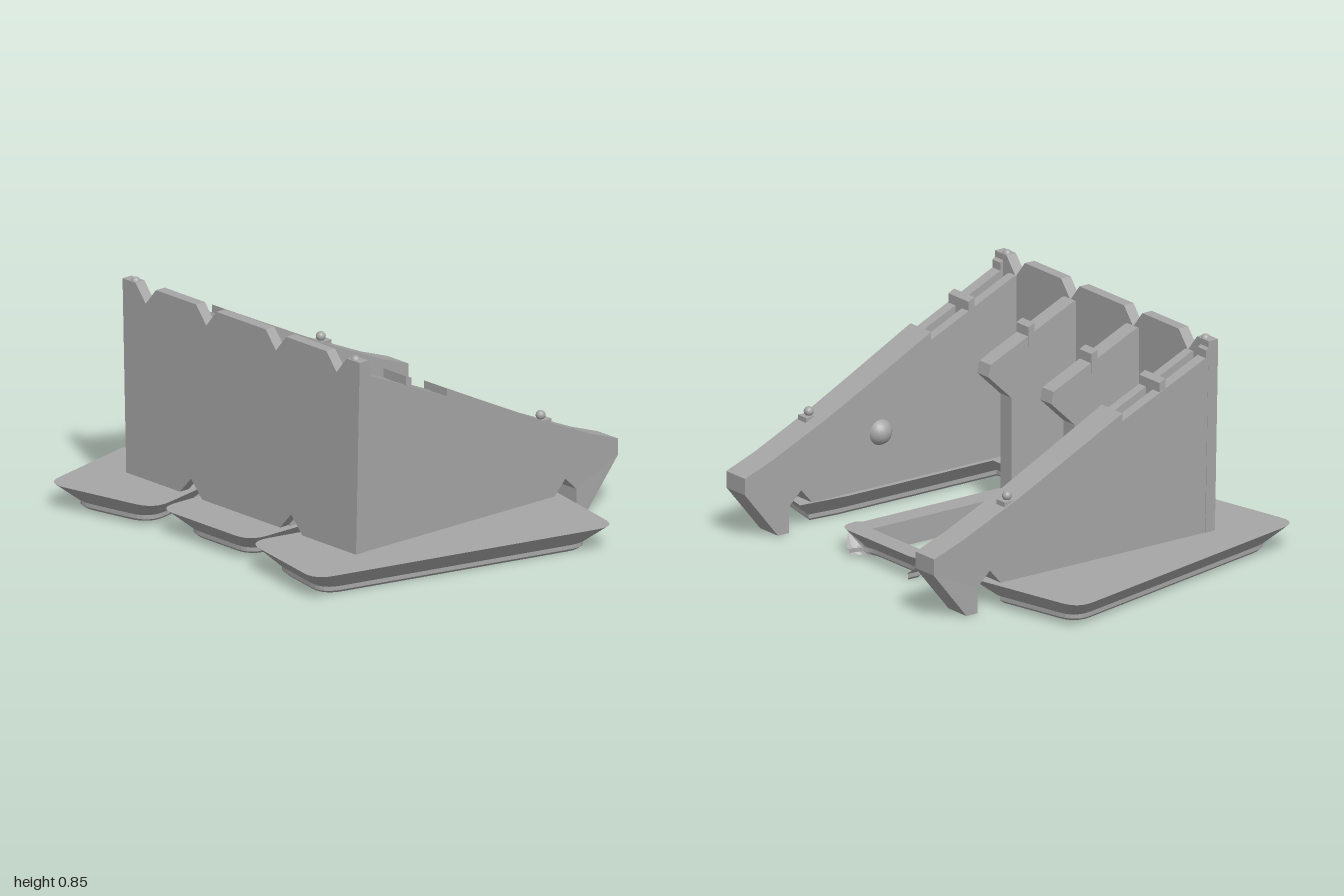
import * as THREE from 'three';

const grey = new THREE.MeshStandardMaterial({ color: 0xa6a6a6 });
grey.name = 'plain grey';

const vec = (p) => new THREE.Vector2(p[0], p[1]);

// Move every edge of a polygon inward by d; corners are [x, z, radius]
function inset(corners, d) {
  const n = corners.length;
  const area = corners.reduce((s, a, i) => {
    const b = corners[(i + 1) % n];
    return s + a[0] * b[1] - b[0] * a[1];
  }, 0);
  const side = Math.sign(area);
  return corners.map((c, i) => {
    const p = vec(c);
    const e1 = p.clone().sub(vec(corners[(i + n - 1) % n])).normalize();
    const e2 = vec(corners[(i + 1) % n]).sub(p).normalize();
    const n1 = new THREE.Vector2(-e1.y, e1.x).multiplyScalar(side);
    const n2 = new THREE.Vector2(-e2.y, e2.x).multiplyScalar(side);
    const m = n1.clone().add(n2).multiplyScalar(d / (1 + n1.dot(n2)));
    return [c[0] + m.x, c[1] + m.y, c[2]];
  });
}

// Replace each corner by a short curve
function rounded(corners, steps = 6) {
  const n = corners.length, out = [];
  corners.forEach((c, i) => {
    const p = vec(c);
    if (!c[2]) { out.push(p); return; }
    const a = vec(corners[(i + n - 1) % n]).sub(p).setLength(c[2]).add(p);
    const b = vec(corners[(i + 1) % n]).sub(p).setLength(c[2]).add(p);
    out.push(...new THREE.QuadraticBezierCurve(a, p, b).getPoints(steps));
  });
  return out;
}

// Flared foot: stacked [y, inset] outlines, optional straight hole.
// Corners run counter-clockwise in (x, -z).
function footGeometry(corners, hole = []) {
  const levels = [[0, 0.08], [0.01, 0.07], [0.026, 0.07], [0.032, 0.062], [0.095, 0]];
  const rings = levels.map(([, d]) => rounded(inset(corners, d)));
  const pos = [];
  const put = (p, y) => pos.push(p.x, y, -p.y);
  const wall = (lo, yl, hi, yh) => lo.forEach((a, i) => {
    const j = (i + 1) % lo.length;
    put(a, yl); put(lo[j], yl); put(hi[j], yh);
    put(a, yl); put(hi[j], yh); put(hi[i], yh);
  });
  for (let k = 0; k < levels.length - 1; k++) {
    wall(rings[k], levels[k][0], rings[k + 1], levels[k + 1][0]);
  }
  const inner = hole.map(vec);
  if (inner.length) wall(inner, 0, inner, 0.095);
  const cap = (ring, y, up) => {
    const all = [...ring, ...inner];
    for (const t of THREE.ShapeUtils.triangulateShape(ring, inner.length ? [inner] : [])) {
      const [a, b, c] = t.map((i) => all[i]);
      const ccw = (b.x - a.x) * (c.y - a.y) - (b.y - a.y) * (c.x - a.x) > 0;
      (ccw === up ? [a, b, c] : [a, c, b]).forEach((p) => put(p, y));
    }
  };
  cap(rings[0], 0, false);
  cap(rings[rings.length - 1], 0.095, true);
  const g = new THREE.BufferGeometry();
  g.setAttribute('position', new THREE.Float32BufferAttribute(pos, 3));
  g.computeVertexNormals();
  return g;
}

// Plate cut from a (z, y) profile, spanning x0 to x1
function slab(profile, x0, x1) {
  const g = new THREE.ExtrudeGeometry(new THREE.Shape(profile.map(vec)), { depth: x1 - x0, bevelEnabled: false });
  return g.rotateY(-Math.PI / 2).translate(x1, 0, 0);
}

function box(x0, x1, y0, y1, z0, z1) {
  return new THREE.BoxGeometry(x1 - x0, y1 - y0, z1 - z0)
    .translate((x0 + x1) / 2, (y0 + y1) / 2, (z0 + z1) / 2);
}

// Mirror across x = 0 and restore the facing
function mirrored(geo) {
  const g = geo.index ? geo.toNonIndexed() : geo.clone();
  for (const name of ['position', 'normal']) {
    const a = g.attributes[name];
    for (let i = 0; i < a.count; i += 3) {
      const v = [0, 2, 1].map((k) => [-a.getX(i + k), a.getY(i + k), a.getZ(i + k)]);
      v.forEach((p, k) => a.setXYZ(i + k, ...p));
    }
  }
  return g;
}

export function createModel() {
  const model = new THREE.Group();
  model.name = 'bracketStand';
  const add = (name, geo) => {
    const m = new THREE.Mesh(geo, grey);
    m.name = name;
    model.add(m);
  };
  const pair = (name, geo) => {
    add(name + 'Left', geo);
    add(name + 'Right', mirrored(geo));
  };

  // Outer feet
  pair('sideFoot', footGeometry([
    [0.25, -0.69, 0.09], [0.725, -0.79, 0.08], [1.012, 0.42, 0.08], [0.51, 0.53, 0],
    [0.49, 0.32, 0], [0.49, -0.33, 0], [0.33, -0.33, 0], [0.298, -0.47, 0],
  ]));

  // Centre foot with a long opening
  add('centreFoot', footGeometry([
    [-0.247, -0.675, 0.08], [0.247, -0.675, 0.08], [0.247, -0.33, 0], [0.23, -0.31, 0],
    [0.23, 0.46, 0], [0.245, 0.48, 0], [0.245, 0.56, 0.07], [-0.245, 0.56, 0.07],
    [-0.245, 0.48, 0], [-0.23, 0.46, 0], [-0.23, -0.31, 0], [-0.247, -0.33, 0],
  ], [[-0.145, -0.33], [-0.145, 0.48], [0.145, 0.48], [0.145, -0.33]]));

  // Front wall with notches in its top and bottom edges
  const edge = [[-0.62, 0.09]];
  for (const x of [-0.27, 0.27]) edge.push([x - 0.065, 0.09], [x, 0.16], [x + 0.065, 0.09]);
  edge.push([0.62, 0.09], [0.64, 0.832]);
  for (const x of [0.515, 0.188, -0.188, -0.515]) {
    edge.push([x + 0.055, 0.832], [x, 0.766], [x - 0.055, 0.832]);
  }
  edge.push([-0.64, 0.832]);
  add('frontWall', new THREE.ExtrudeGeometry(new THREE.Shape(edge.map(vec)), { depth: 0.043, bevelEnabled: false })
    .translate(0, 0, 0.452));

  // Side walls: two sloping fins with a groove between them
  const base = [[-0.47, 0.09], [-0.525, 0.152], [-0.58, 0.1], [-0.58, 0], [-0.63, 0],
    [-0.78, 0.185], [-0.78, 0.248], [-0.65, 0.295], [-0.4, 0.405], [-0.2, 0.503], [0.065, 0.635]];
  const top = [[0.065, 0.605], [0.44, 0.77], [0.44, 0.8], [0.455, 0.81], [0.455, 0.832]];
  const grooved = [[0.065, 0.52], [0.452, 0.69]];
  const front = [[0.49, 0.832], [0.49, 0.09]];
  const fin = (cut) => [...base, ...cut, ...front].reverse();
  const outer = slab(fin(top), 0.59, 0.62);
  const p = outer.attributes.position;
  for (let i = 0; i < p.count; i++) {
    if (p.getX(i) > 0.61) p.setX(i, 0.617 + 0.023 * Math.max(0, p.getY(i) - 0.09) / 0.74);
  }
  outer.computeVertexNormals();
  pair('sideWallOuter', outer);
  pair('sideWallCore', slab([...base, ...grooved, [0.452, 0.09]].reverse(), 0.55, 0.59));
  pair('sideWallInner', slab([...base, [0.065, 0.605], [0.44, 0.77], [0.452, 0.77], [0.452, 0.09]].reverse(), 0.51, 0.55));

  // Inner struts with an overhanging rear tip
  pair('strut', slab([[0.455, 0.09], [0.455, 0.77], [0.44, 0.77], [0.065, 0.605],
    [0.055, 0.56], [0.16, 0.46], [0.16, 0.09]].reverse(), 0.155, 0.222));

  // Cross teeth on the sloping edges
  const tooth = [[0.235, 0.64], [0.262, 0.64], [0.262, 0.727], [0.235, 0.715]];
  pair('strutTooth', slab(tooth, 0.152, 0.225));
  pair('wallTooth', slab(tooth, 0.51, 0.632));

  // Locating pegs, their pads, and a round boss inside each wall
  const ball = (r, x, y, z) => new THREE.SphereGeometry(r, 20, 14).translate(x, y, z);
  pair('frontPeg', ball(0.018, 0.593, 0.827, 0.473));
  pair('rearPeg', ball(0.018, 0.593, 0.412, -0.428));
  pair('rearPegPad', box(0.57, 0.618, 0.34, 0.398, -0.458, -0.4));
  pair('innerBoss', ball(0.05, 0.522, 0.3, -0.165));

  return model;
}
